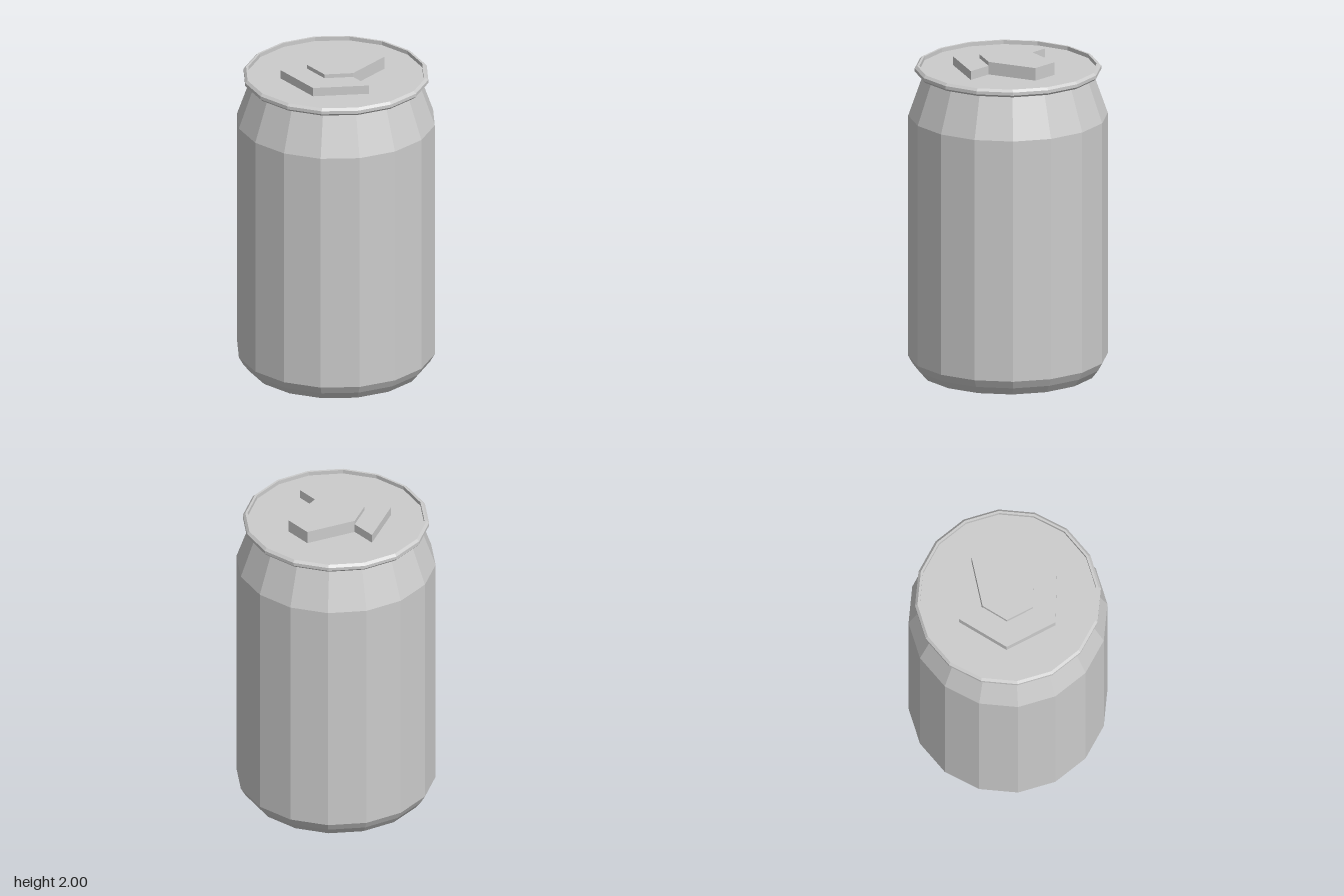
import * as THREE from 'three';

const SIDES = 16;
const LID_Y = 1.92;

function createMaterial() {
  return new THREE.MeshStandardMaterial({ color: 0xcccccc, flatShading: true });
}

export function createModel() {
  const group = new THREE.Group();
  group.name = 'drinkCan';
  const material = createMaterial();

  const add = (name, geometry) => {
    const mesh = new THREE.Mesh(geometry, material);
    mesh.name = name;
    group.add(mesh);
    return mesh;
  };

  // Faceted turned part from [radius, height] pairs, listed from the bottom up
  const turned = (profile) =>
    new THREE.LatheGeometry(profile.map(([r, y]) => new THREE.Vector2(r, y)), SIDES);

  // Flat plate standing on the lid; outline in x and z, mirrored across z = 0
  const plate = (half, topY) => {
    const outline = [...half, ...half.map(([x, z]) => [x, -z]).reverse()];
    const shape = new THREE.Shape(outline.map(([x, z]) => new THREE.Vector2(x, z)));
    const geometry = new THREE.ExtrudeGeometry(shape, { depth: topY - LID_Y, bevelEnabled: false });
    return geometry.rotateX(-Math.PI / 2).translate(0, LID_Y, 0);
  };

  // Base, straight wall and tapered neck
  add('body', turned([[0, 0], [0.545, 0], [0.584, 0.05], [0.612, 0.1], [0.612, 1.63], [0.517, 1.9]]));

  // Rolled rim with the lid sunk inside it
  add('rimAndLid', turned([
    [0.5, 1.897], [0.56, 1.897], [0.572, 1.91], [0.572, 1.93],
    [0.557, 1.945], [0.543, 1.945], [0.543, LID_Y], [0, LID_Y],
  ]));

  // Mouth panel and pull tab
  add('mouthPanel', plate([[0, 0.34], [-0.298, 0.17]], 1.975));
  add('pullTab', plate([[0.305, 0.088], [0, 0.177], [-0.153, 0.09]], 2));

  return group;
}
